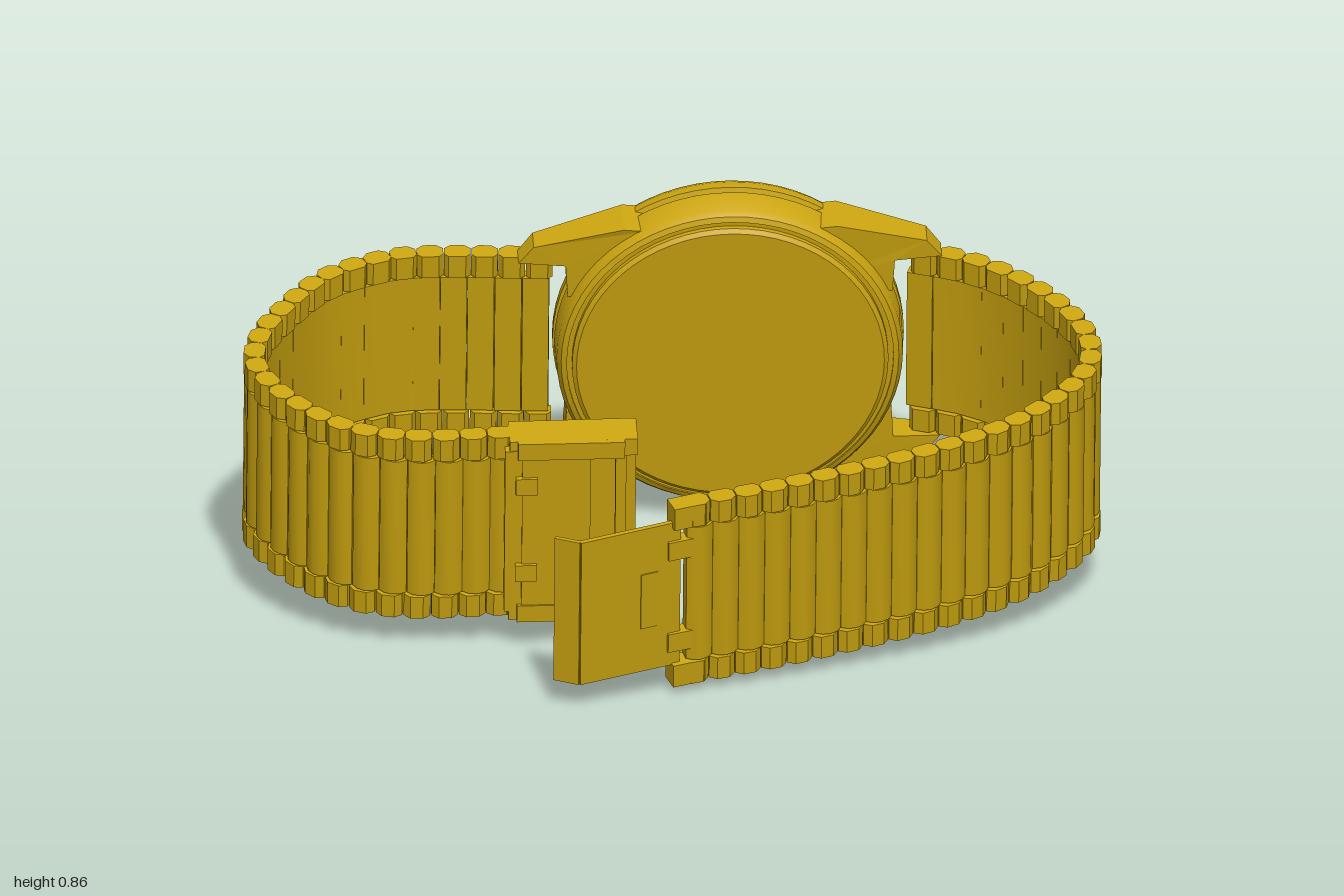
import * as THREE from 'three';
import { mergeGeometries, toCreasedNormals } from 'three/addons/utils/BufferGeometryUtils.js';

export function createModel() {
  const gold = new THREE.MeshStandardMaterial({ color: 0xcca510 });
  gold.name = 'gold';
  const silver = new THREE.MeshStandardMaterial({ color: 0xc0c0c0 });
  silver.name = 'silver glass';

  const model = new THREE.Group();
  model.name = 'wristwatch';
  // The whole watch leans back about ten degrees
  const watch = new THREE.Group();
  watch.name = 'watch';
  watch.rotation.x = 0.172;
  model.add(watch);

  const add = (name, geometry, material = gold) => {
    const mesh = new THREE.Mesh(geometry, material);
    mesh.name = name;
    watch.add(mesh);
    return mesh;
  };
  const cx = 0.15, cy = 0.35;

  // Turned part around the case axis; profile is [radius, distance toward the dial]
  const turned = (profile, crease) => {
    const g = new THREE.LatheGeometry(profile.map(p => new THREE.Vector2(...p)), 64);
    g.rotateX(-Math.PI / 2);
    g.translate(cx, cy, 0);
    return toCreasedNormals(g, crease);
  };

  // Case with stepped back plate and rounded bezel
  add('case', turned([
    [0, 0.495], [0.36, 0.495], [0.37, 0.503], [0.37, 0.515], [0.382, 0.515], [0.382, 0.51],
    [0.395, 0.515], [0.405, 0.53], [0.408, 0.6], [0.398, 0.604], [0.398, 0.612], [0.411, 0.617],
    [0.411, 0.64], [0.403, 0.658], [0.39, 0.67], [0.372, 0.672], [0.366, 0.662], [0, 0.662],
  ], 0.6));

  // Domed glass
  const dome = [[0.366, 0.664]];
  for (let i = 0; i <= 10; i++) {
    const r = 0.366 * (1 - i / 10);
    dome.push([r, 0.674 + 0.054 * (1 - (r / 0.366) ** 2)]);
  }
  add('glass', turned(dome, 0.7), silver);

  // Crown and stem
  const crown = new THREE.CylinderGeometry(0.03, 0.03, 0.026, 16);
  add('crown', toCreasedNormals(crown, 0.6)).position.set(cx, -0.087, -0.59);
  const stem = new THREE.CylinderGeometry(0.015, 0.015, 0.05, 12);
  add('crownStem', toCreasedNormals(stem, 0.6)).position.set(cx, -0.06, -0.59);

  // Four tapered lugs
  for (const sx of [-1, 1]) for (const sy of [-1, 1]) {
    let pts = [[0.2, 0.2], [0.38, 0.16], [0.385, 0.245], [0.495, 0.25], [0.46, 0.295], [0.25, 0.35], [0.2, 0.345]]
      .map(([x, y]) => new THREE.Vector2(sx * x, sy * y));
    const g = new THREE.ExtrudeGeometry(new THREE.Shape(pts), { depth: 1, bevelEnabled: false });
    const p = g.attributes.position;
    for (let i = 0; i < p.count; i++) {
      const t = THREE.MathUtils.clamp((Math.abs(p.getX(i)) - 0.25) / 0.25, 0, 1);
      const back = THREE.MathUtils.lerp(-0.645, -0.61, t);
      const front = THREE.MathUtils.lerp(-0.535, -0.555, t);
      p.setZ(i, THREE.MathUtils.lerp(back, front, p.getZ(i)));
    }
    g.computeVertexNormals();
    add((sx > 0 ? 'left' : 'right') + (sy > 0 ? 'Upper' : 'Lower') + 'Lug', g).position.set(cx, cy, 0);
  }

  // Link: cross-section in (along band, outward), extruded across the band
  const link = (section, y0, y1) => {
    const g = new THREE.ExtrudeGeometry(
      new THREE.Shape(section.map(p => new THREE.Vector2(...p))),
      { depth: y1 - y0, bevelEnabled: false });
    g.translate(0, 0, y0);
    return g;
  };
  const pitch = 0.065;
  const slat = link([[-0.031, -0.017], [0.031, -0.017], [0.032, 0.01], [0.018, 0.021],
    [0, 0.025], [-0.018, 0.021], [-0.032, 0.01]], 0.168, 0.537);
  const edgeSection = [[-0.02, -0.024], [0.02, -0.024], [0.031, -0.012], [0.031, 0.012],
    [0.015, 0.026], [-0.015, 0.026], [-0.031, 0.012], [-0.031, -0.012]];
  const edges = [link(edgeSection, 0.105, 0.164), link(edgeSection, 0.541, 0.6)];

  const band = (name, points) => {
    const curve = new THREE.CatmullRomCurve3(points.map(([x, z]) => new THREE.Vector3(x, 0, z)));
    const n = Math.round(curve.getLength() / pitch);
    const slats = [], sides = [];
    const up = new THREE.Vector3(0, 1, 0);
    const frame = u => {
      const t = curve.getTangentAt(u);
      return new THREE.Matrix4().makeBasis(t, new THREE.Vector3().crossVectors(up, t), up)
        .setPosition(curve.getPointAt(u));
    };
    for (let i = 0; i < n; i++) {
      slats.push(slat.clone().applyMatrix4(frame((i + 0.5) / n)));
      const m = frame((i + 0.62) / n);
      for (const e of edges) sides.push(e.clone().applyMatrix4(m));
    }
    add(name + 'Slats', toCreasedNormals(mergeGeometries(slats), 0.6));
    add(name + 'EdgeLinks', mergeGeometries(sides));
  };
  // Both strands run so that their outer side lies to the left of travel
  band('leftBand', [[0.57, -0.6], [0.7, -0.55], [0.8, -0.48], [0.9, -0.365], [0.96, -0.245],
    [0.975, -0.135], [0.95, -0.04], [0.88, 0.06], [0.78, 0.155], [0.6, 0.26], [0.4, 0.343],
    [0.2, 0.415], [0, 0.475]]);
  band('rightBand', [[-0.38, 0.162], [-0.6, 0.172], [-0.7, 0.155], [-0.78, 0.12], [-0.88, 0.03],
    [-0.95, -0.075], [-0.978, -0.165], [-0.96, -0.275], [-0.9, -0.39], [-0.8, -0.52],
    [-0.7, -0.58], [-0.6, -0.61], [-0.27, -0.6]]);

  // Straight plate from a to b in plan, between two heights
  const plate = (name, a, b, y0, y1, thick) => {
    const dx = b[0] - a[0], dz = b[1] - a[1];
    const m = add(name, new THREE.BoxGeometry(Math.hypot(dx, dz), y1 - y0, thick));
    m.position.set((a[0] + b[0]) / 2, (y0 + y1) / 2, (a[1] + b[1]) / 2);
    m.rotation.y = -Math.atan2(dz, dx);
  };

  // Hook plate on the left strand
  plate('hookPlate', [-0.03, 0.492], [-0.25, 0.573], 0.16, 0.555, 0.012);
  plate('hookLip', [-0.25, 0.573], [-0.308, 0.55], 0.16, 0.555, 0.01);
  plate('hookTab', [-0.07, 0.5], [-0.11, 0.515], 0.28, 0.43, 0.03);
  for (const [y0, y1] of [[0.105, 0.164], [0.541, 0.6]])
    plate('hookEndBlock', [0.04, 0.462], [-0.035, 0.488], y0, y1, 0.05);
  for (const [y0, y1] of [[0.2, 0.25], [0.455, 0.505]])
    plate('hookHinge', [0.03, 0.468], [-0.045, 0.493], y0, y1, 0.035);
  plate('hookPin', [-0.015, 0.482], [-0.035, 0.489], 0.16, 0.545, 0.02);

  // Open clasp box on the right strand
  plate('claspPlate', [-0.4, 0.128], [-0.1, 0.122], 0.105, 0.6, 0.015);
  for (const [y0, y1] of [[0.105, 0.15], [0.555, 0.6]]) {
    plate('claspRail', [-0.4, 0.17], [-0.1, 0.165], y0, y1, 0.08);
    plate('claspRailCap', [-0.38, 0.212], [-0.13, 0.21], y0, y1, 0.018);
  }
  plate('claspEndWall', [-0.41, 0.172], [-0.36, 0.172], 0.13, 0.575, 0.08);
  plate('claspFrontStrip', [-0.37, 0.21], [-0.21, 0.207], 0.15, 0.555, 0.015);
  plate('claspCatchBar', [-0.15, 0.17], [-0.125, 0.17], 0.15, 0.555, 0.025);
  for (const y of [0.22, 0.46])
    plate('claspHinge', [-0.385, 0.21], [-0.335, 0.21], y, y + 0.045, 0.03);

  return model;
}
